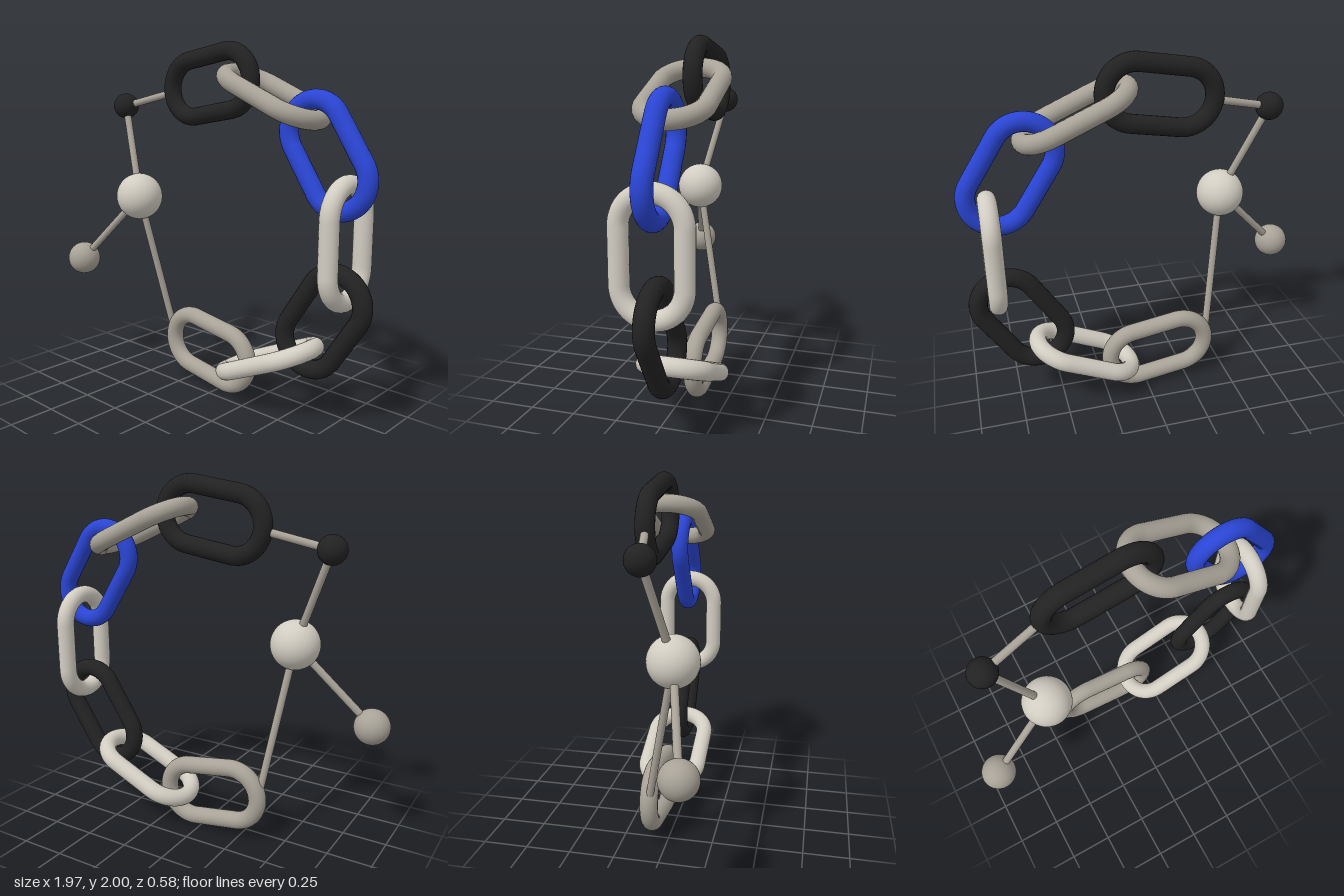
import * as THREE from 'three';

const material = (name, color) => {
  const m = new THREE.MeshStandardMaterial({ color });
  m.name = name;
  return m;
};

// Closed stadium path, long axis along y, lying in the xy plane
class StadiumCurve extends THREE.Curve {
  constructor(halfStraight, radius) {
    super();
    this.h = halfStraight;
    this.r = radius;
  }
  getPoint(t, target = new THREE.Vector3()) {
    const { h, r } = this;
    const arc = Math.PI * r;
    let d = (t % 1) * (2 * arc + 4 * h);
    const sign = d < arc + 2 * h ? 1 : -1;
    if (sign < 0) d -= arc + 2 * h;
    if (d < arc) {
      const a = d / r;
      return target.set(sign * r * Math.cos(a), sign * (h + r * Math.sin(a)), 0);
    }
    return target.set(-sign * r, sign * (h - (d - arc)), 0);
  }
}

export function createModel() {
  const group = new THREE.Group();
  const black = material('black', 0x222222);
  const blue = material('blue', 0x2a45d4);
  const light = material('light stone', 0xd2cdc2);
  const stone = material('warm grey', 0xa8a297);

  // Chain links spaced around an arc, every other one turned a quarter
  const chainZ = -0.085, centre = new THREE.Vector2(0.05, 1.002), ring = 0.78;
  const step = THREE.MathUtils.degToRad(33);
  const linkGeometry = new THREE.TubeGeometry(new StadiumCurve(0.135, 0.157), 128, 0.05, 20, true);
  const colours = [stone, light, black, light, blue, stone, black];
  colours.forEach((colour, i) => {
    const angle = (i - 3) * step;
    const pivot = new THREE.Group();
    pivot.name = `chainLink${i + 1}`;
    pivot.position.set(centre.x + ring * Math.cos(angle), centre.y + ring * Math.sin(angle), chainZ);
    pivot.rotation.z = angle;
    const link = new THREE.Mesh(linkGeometry, colour);
    link.name = 'link';
    link.rotation.y = i % 2 ? Math.PI / 2 : 0;
    pivot.add(link);
    group.add(pivot);
  });

  // Balls
  const ball = (name, position, radius, colour) => {
    const mesh = new THREE.Mesh(new THREE.SphereGeometry(radius, 40, 28), colour);
    mesh.name = name;
    mesh.position.copy(position);
    group.add(mesh);
  };
  const small = new THREE.Vector3(-0.704, 1.65, -0.02);
  const large = new THREE.Vector3(-0.485, 1.127, 0.08);
  const medium = new THREE.Vector3(-0.892, 0.707, 0.192);
  ball('smallBall', small, 0.075, black);
  ball('largeBall', large, 0.135, light);
  ball('mediumBall', medium, 0.098, stone);

  // Rods joining the balls to each other and to the chain ends
  const rod = (name, a, b) => {
    const dir = b.clone().sub(a);
    const mesh = new THREE.Mesh(new THREE.CylinderGeometry(0.021, 0.021, dir.length(), 20), stone);
    mesh.name = name;
    mesh.position.copy(a).add(b).multiplyScalar(0.5);
    mesh.quaternion.setFromUnitVectors(new THREE.Vector3(0, 1, 0), dir.normalize());
    group.add(mesh);
  };
  rod('upperRod', small, new THREE.Vector3(-0.36, 1.73, chainZ));
  rod('middleRod', small, large);
  rod('sideRod', large, medium);
  rod('lowerRod', large, new THREE.Vector3(-0.367, 0.276, chainZ));

  return group;
}
